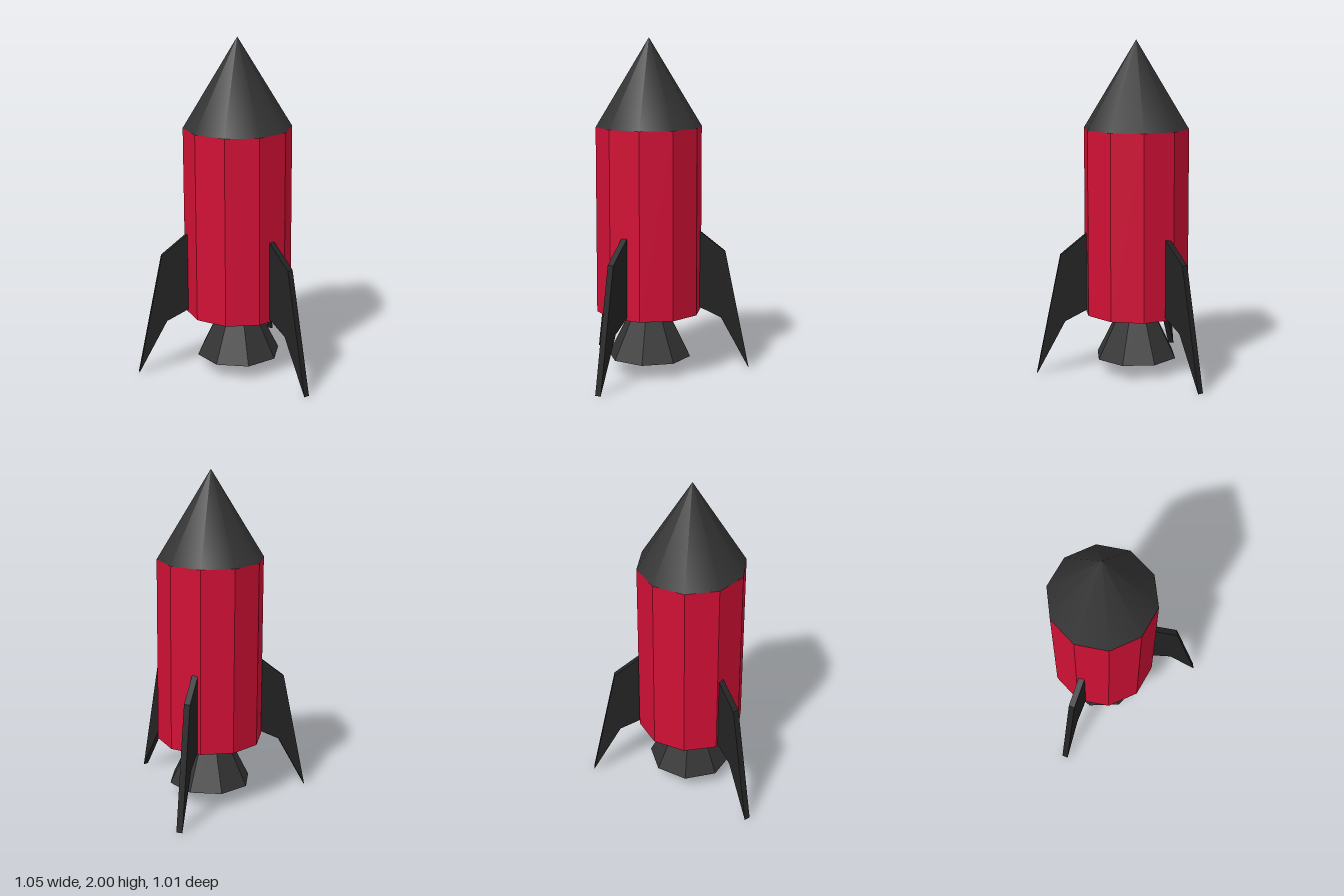
import * as THREE from 'three';

const mat = (color, flatShading = true) => new THREE.MeshStandardMaterial({ color, flatShading });

function addMesh(parent, name, geometry, material, y = 0) {
  const mesh = new THREE.Mesh(geometry, material);
  mesh.name = name;
  mesh.position.y = y;
  parent.add(mesh);
  return mesh;
}

export function createModel() {
  const model = new THREE.Group();
  model.name = 'rocket';

  // everything shares one vertical axis, set off from the origin
  const rocket = new THREE.Group();
  rocket.name = 'rocketAxis';
  rocket.position.set(-0.058, 0, 0.093);
  model.add(rocket);

  const red = mat(0xd01035);
  const charcoal = mat(0x333333);
  const finGrey = mat(0x232323);
  const soot = mat(0x080808);

  // ten-sided hull with a corner on the x axis
  const R = 0.316, start = Math.PI / 2;
  addMesh(rocket, 'body', new THREE.CylinderGeometry(R, R, 1.11, 10, 1, false, start), red, 0.925);

  // smooth-shaded nose on the same ten-sided base
  addMesh(rocket, 'noseCone', new THREE.ConeGeometry(R, 0.52, 10, 1, false, start), mat(0x333333, false), 1.74);

  // eight-sided flared nozzle with a dark mouth
  addMesh(rocket, 'nozzle', new THREE.CylinderGeometry(0.11, 0.25, 0.28, 8), [charcoal, charcoal, soot], 0.23);

  // three swept fins: profile in radius and height, extruded to thickness
  const profile = [[0.285, 0.865], [0.3, 0.855], [0.457, 0.727], [0.606, 0], [0.433, 0.32], [0.3, 0.388], [0.285, 0.396]];
  const thickness = 0.036;
  const finGeometry = new THREE.ExtrudeGeometry(
    new THREE.Shape(profile.map(([r, y]) => new THREE.Vector2(r, y))),
    { depth: thickness, bevelEnabled: false }
  );
  finGeometry.translate(0, 0, -thickness / 2);
  for (let i = 0; i < 3; i++) {
    const fin = addMesh(rocket, 'fin' + (i + 1), finGeometry, finGrey);
    fin.rotation.y = -THREE.MathUtils.degToRad(18.5 + 120 * i);
  }

  return model;
}
